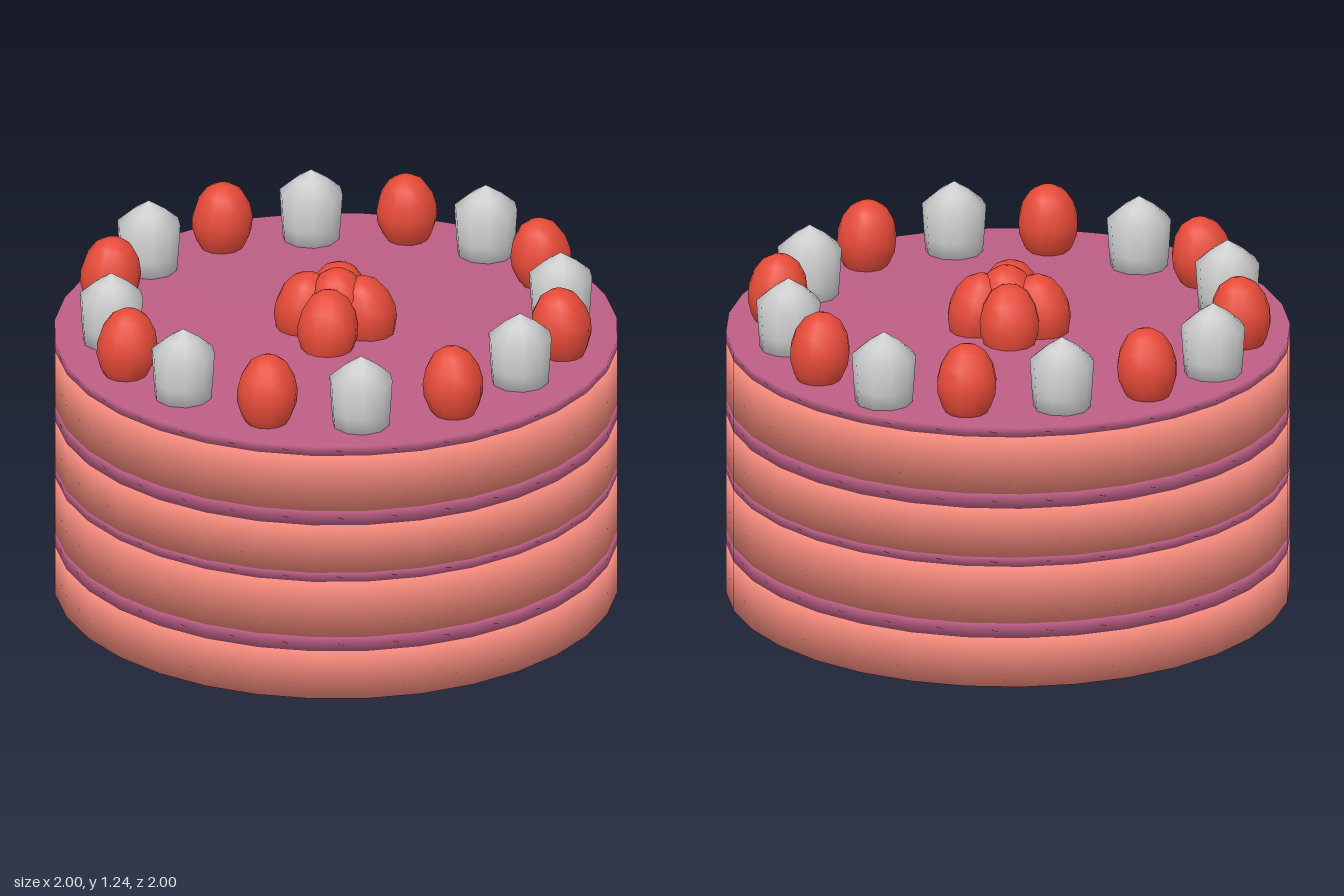
import * as THREE from 'three';

const mat = (color) => new THREE.MeshStandardMaterial({ color });

// Smooth solid of revolution from [radius, height] pairs, listed bottom to top
const turned = (points, sides) =>
  new THREE.LatheGeometry(points.map(([r, y]) => new THREE.Vector2(r, y)), sides);

export function createModel() {
  const cake = new THREE.Group();
  cake.name = 'layerCake';
  const spongeMat = mat(0xf58a7c);
  const fillingMat = mat(0xbc5e84);
  const berryMat = mat(0xe54a38);
  const creamMat = mat(0xcccccc);

  const add = (parent, geometry, material, name, x, y, z) => {
    const mesh = new THREE.Mesh(geometry, material);
    mesh.name = name;
    mesh.position.set(x, y, z);
    parent.add(mesh);
    return mesh;
  };

  // Alternating sponge and filling discs, bottom to top
  const levels = [0, 0.185, 0.24, 0.455, 0.49, 0.675, 0.73, 0.945, 0.98];
  for (let i = 0; i < levels.length - 1; i++) {
    const h = levels[i + 1] - levels[i];
    const disc = turned([[0, 0], [1, 0], [1, h], [0, h]], 32);
    const filling = i % 2 === 1;
    add(cake, disc, filling ? fillingMat : spongeMat,
      (filling ? 'filling' : 'sponge') + (Math.floor(i / 2) + 1), 0, levels[i], 0);
  }
  const top = 0.98;

  // Pointed cream dollops around the rim
  const dollops = new THREE.Group();
  dollops.name = 'creamDollops';
  cake.add(dollops);
  const dollopGeo = turned(
    [[0, -0.02], [0.1, -0.02], [0.107, 0.06], [0.114, 0.175], [0.06, 0.222], [0, 0.262]], 10);
  const dollopSpots = [[0, 0.8], [0.6, 0.5], [0.8, 0], [0.6, -0.6],
    [0, -0.8], [-0.6, -0.6], [-0.8, 0], [-0.6, 0.5]];
  for (const [x, z] of dollopSpots) add(dollops, dollopGeo, creamMat, 'dollop', x, top, z);

  // Egg-shaped strawberries, each leaning towards the centre of the cake
  const berryGeo = turned([[0, -0.03], [0.06, -0.025], [0.088, 0.02], [0.106, 0.07],
    [0.108, 0.115], [0.095, 0.17], [0.066, 0.218], [0.032, 0.24], [0, 0.246]], 12);
  const addBerry = (parent, x, z, lean, lift = 0) => {
    const berry = add(parent, berryGeo, berryMat, 'strawberry', x, top + lift, z);
    const d = Math.hypot(x, z) || 1;
    berry.quaternion.setFromAxisAngle(new THREE.Vector3(-z / d, 0, x / d), lean);
  };

  const rimBerries = new THREE.Group();
  rimBerries.name = 'rimStrawberries';
  cake.add(rimBerries);
  const rimSpots = [[0.34, 0.74], [0.78, 0.285], [0.775, -0.33], [0.34, -0.765],
    [-0.325, -0.765], [-0.775, -0.34], [-0.785, 0.285], [-0.33, 0.74]];
  for (const [x, z] of rimSpots) addBerry(rimBerries, x, z, 0.1);

  // Central pile: four leaning berries around one upright
  const pile = new THREE.Group();
  pile.name = 'centreStrawberries';
  cake.add(pile);
  for (const [x, z] of [[0.03, -0.145], [0.125, 0.02], [-0.05, 0.15], [-0.125, -0.055]])
    addBerry(pile, x, z, 0.2, -0.035);
  addBerry(pile, 0.005, 0, 0, -0.01);

  return cake;
}
